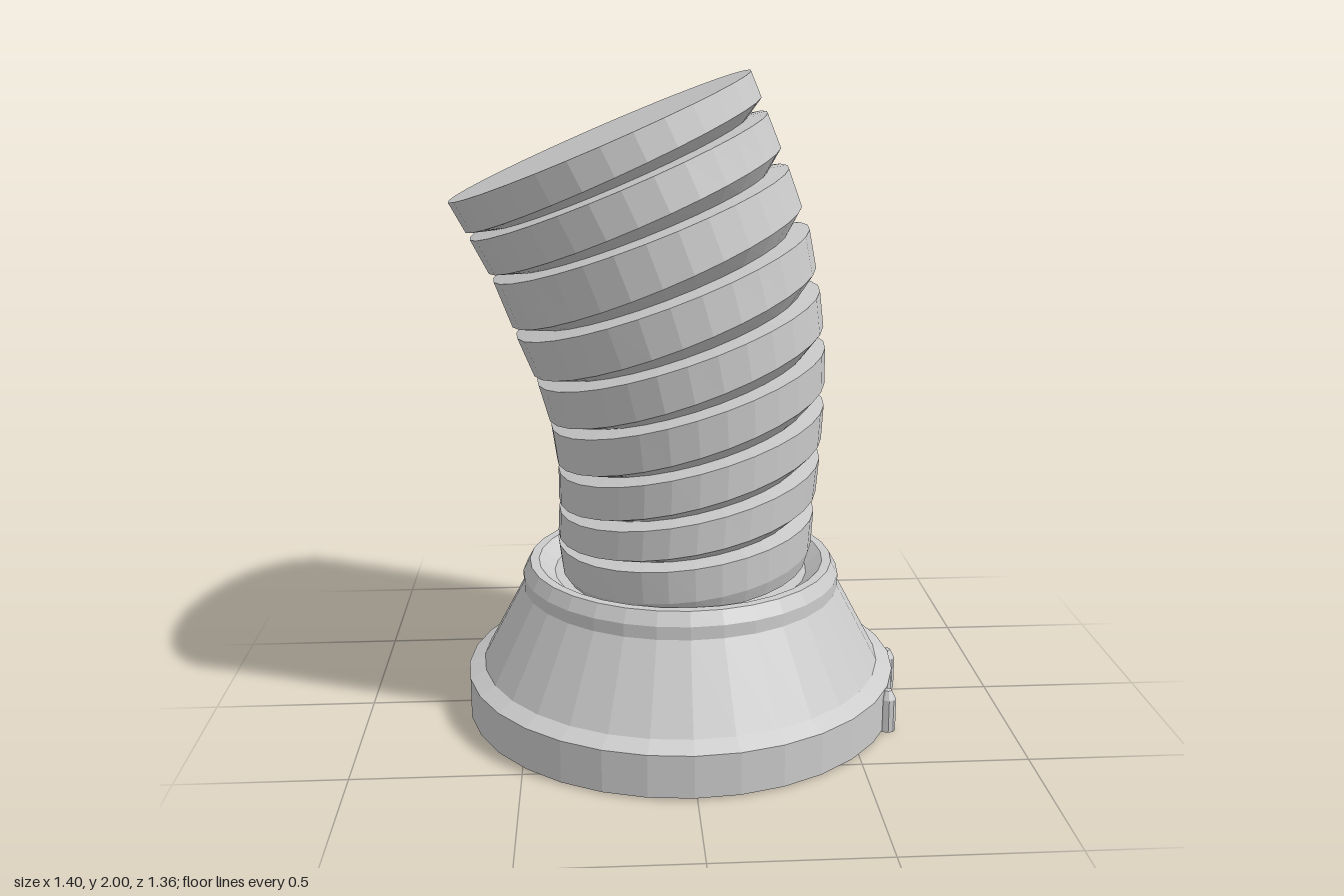
import * as THREE from 'three';

const SIDES = 32;
const CX = -0.008, CZ = -0.003;
const material = new THREE.MeshStandardMaterial({ color: 0xcccccc, flatShading: true });

function addMesh(group, name, geometry, x = 0, y = 0, z = 0) {
  const mesh = new THREE.Mesh(geometry, material);
  mesh.name = name;
  mesh.position.set(x, y, z);
  group.add(mesh);
  return mesh;
}

// Revolved solid from [radius, height] pairs, bottom to top
const lathe = (points, sides) =>
  new THREE.LatheGeometry(points.map(([r, y]) => new THREE.Vector2(r, y)), sides);

// Closed skin through elliptical sections {l, r, rz}, listed from top to bottom.
// l and r are the outer ends of the tilted ellipse in the xy plane, rz its half depth.
function loft(sections) {
  const pos = [], index = [];
  for (const { l, r, rz } of sections) {
    for (let i = 0; i < SIDES; i++) {
      const a = (i / SIDES) * Math.PI * 2;
      const t = (1 + Math.cos(a)) / 2;
      pos.push(l.x + (r.x - l.x) * t, l.y + (r.y - l.y) * t, CZ + rz * Math.sin(a));
    }
  }
  for (let k = 0; k < sections.length - 1; k++) {
    for (let i = 0; i < SIDES; i++) {
      const j = (i + 1) % SIDES;
      const a = k * SIDES + i, b = k * SIDES + j;
      index.push(a, b, a + SIDES, b, b + SIDES, a + SIDES);
    }
  }
  // End caps
  const last = (sections.length - 1) * SIDES;
  for (let i = 1; i < SIDES - 1; i++) {
    index.push(0, i + 1, i);
    index.push(last, last + i, last + i + 1);
  }
  const geometry = new THREE.BufferGeometry();
  geometry.setAttribute('position', new THREE.Float32BufferAttribute(pos, 3));
  geometry.setIndex(index);
  const flat = geometry.toNonIndexed();
  flat.computeVertexNormals();
  return flat;
}

// Section between a and b; the two ends may blend by different amounts
function between(a, b, tl, tr, scale = 1) {
  const l = a.l.clone().lerp(b.l, tl), r = a.r.clone().lerp(b.r, tr);
  const c = l.clone().add(r).multiplyScalar(0.5);
  return {
    l: l.sub(c).multiplyScalar(scale).add(c),
    r: r.sub(c).multiplyScalar(scale).add(c),
    rz: (a.rz + (b.rz - a.rz) * tr) * scale,
  };
}

export function createModel() {
  const model = new THREE.Group();
  model.name = 'bentRibbedColumn';

  // Flared base with a stepped rim and a shallow socket
  addMesh(model, 'base', lathe([
    [0, 0.01], [0.68, 0.01], [0.68, 0.14], [0.63, 0.165],
    [0.5, 0.41], [0.5, 0.45], [0.478, 0.49], [0.45, 0.49], [0.4, 0.45], [0, 0.45],
  ], SIDES), CX, 0, CZ);

  // Upper edge of every rib, top to bottom: left end, right end, half depth
  const ribs = [
    [-0.70, 1.62, 0.20, 2.00, 0.527],
    [-0.64, 1.51, 0.25, 1.88, 0.518],
    [-0.575, 1.385, 0.315, 1.72, 0.514],
    [-0.51, 1.215, 0.38, 1.54, 0.508],
    [-0.45, 1.07, 0.415, 1.355, 0.498],
    [-0.41, 0.93, 0.435, 1.18, 0.482],
    [-0.39, 0.79, 0.435, 1.00, 0.465],
    [-0.39, 0.665, 0.425, 0.83, 0.46],
    [-0.395, 0.56, 0.41, 0.66, 0.46],
    [-0.38, 0.44, 0.40, 0.49, 0.45],
  ].map(([lx, ly, rx, ry, rz]) => ({
    l: new THREE.Vector2(lx, ly), r: new THREE.Vector2(rx, ry), rz,
  }));

  // Each rib: straight band, sloped underside, then the ledge of the next rib
  const sections = [];
  for (let i = 0; i < ribs.length - 1; i++) {
    const a = ribs[i], b = ribs[i + 1];
    const lowest = i === ribs.length - 2;
    sections.push(a);
    sections.push(between(a, b, 0.8, 0.62));
    sections.push(between(a, b, 0.96, 0.92, lowest ? 0.97 : 0.87));
  }
  addMesh(model, 'ribbedColumn', loft(sections));

  // Small pointed pegs on the side of the base
  const peg = lathe([[0, 0.005], [0.026, 0.005], [0.026, 0.11], [0.012, 0.137], [0, 0.14]], 10);
  for (const [x, z] of [[0.60, -0.315], [0.674, -0.025], [0.617, 0.28]]) {
    addMesh(model, 'peg', peg, x, 0, z);
  }

  return model;
}
